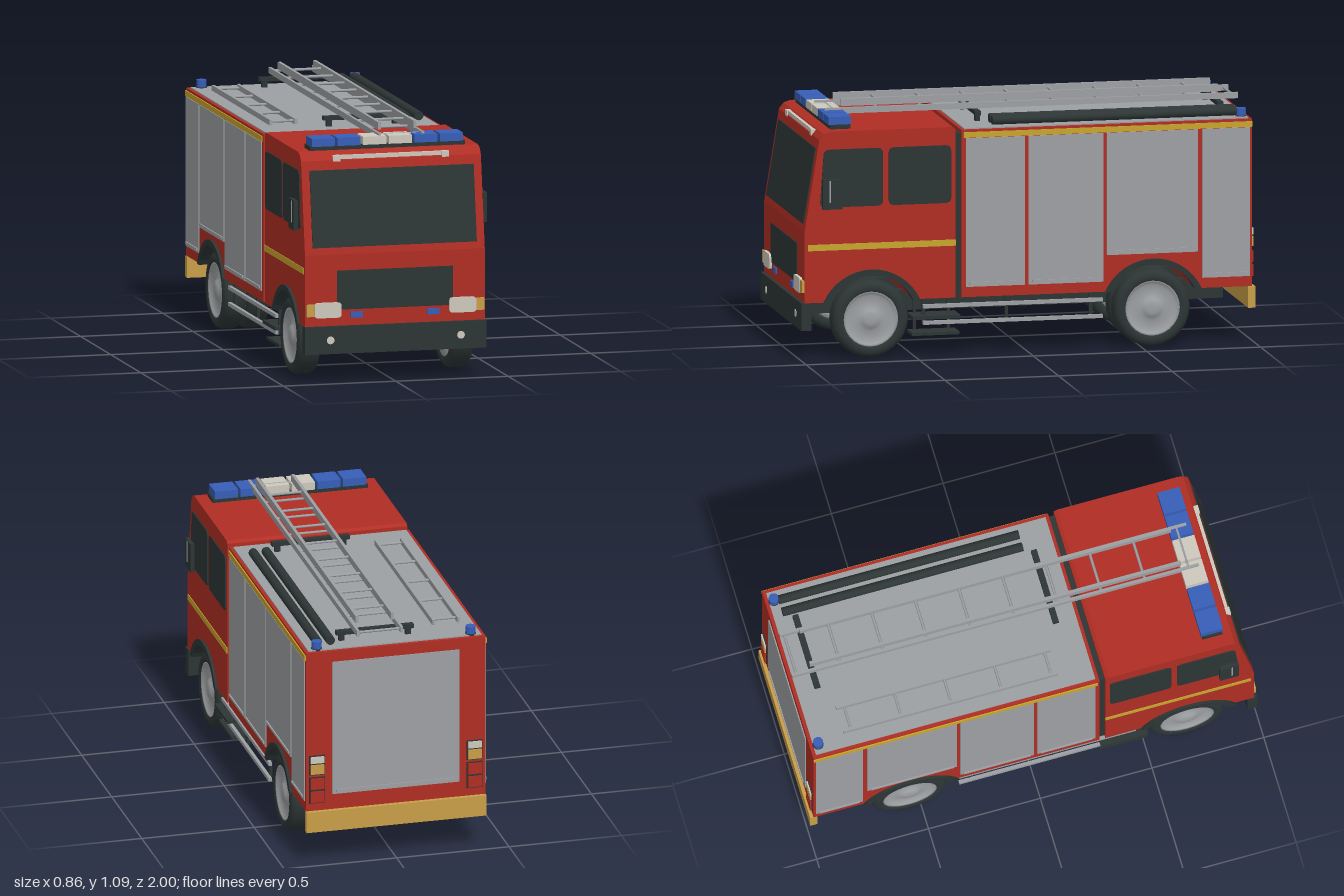
import * as THREE from 'three';

const paint = (name, color) => Object.assign(new THREE.MeshStandardMaterial({ color }), { name });

export function createModel() {
  const root = new THREE.Group();
  root.name = 'fireEngine';
  const red = paint('red bodywork', 0xb02e24);
  const dark = paint('dark trim', 0x2d3535);
  const grey = paint('aluminium', 0x9da0a3);
  const blue = paint('blue lamp', 0x365eb8);
  const cream = paint('clear lamp', 0xcdc9bd);
  const gold = paint('amber', 0xc89f48);
  const yellow = paint('yellow stripe', 0xc9a62e);

  const add = (name, geo, mat, parent = root) => {
    const m = new THREE.Mesh(geo, mat);
    m.name = name;
    parent.add(m);
    return m;
  };
  // Box given by its limits on each axis
  const box = (name, mat, x0, x1, y0, y1, z0, z1, parent) => {
    const g = new THREE.BoxGeometry(Math.abs(x1 - x0), Math.abs(y1 - y0), Math.abs(z1 - z0));
    g.translate((x0 + x1) / 2, (y0 + y1) / 2, (z0 + z1) / 2);
    return add(name, g, mat, parent);
  };
  // The same box on both sides
  const pair = (name, mat, x0, x1, ...rest) => {
    for (const s of [-1, 1]) box(name, mat, s * x0, s * x1, ...rest);
  };
  // Side profile drawn in (z, y), extruded across x around a centre
  const profile = (name, mat, shape, width, cx = 0, curveSegments = 8) => {
    const g = new THREE.ExtrudeGeometry(shape, { depth: width, bevelEnabled: false, curveSegments });
    g.translate(0, 0, -width / 2).rotateY(-Math.PI / 2).translate(cx, 0, 0);
    return add(name, g, mat);
  };
  // Polygon with rounded corners
  const rounded = (pts, r) => {
    const s = new THREE.Shape();
    const v = pts.map(p => new THREE.Vector2(...p));
    v.forEach((p, i) => {
      const a = v[(i + v.length - 1) % v.length].clone().sub(p).setLength(r).add(p);
      const b = v[(i + 1) % v.length].clone().sub(p).setLength(r).add(p);
      if (i) s.lineTo(a.x, a.y); else s.moveTo(a.x, a.y);
      s.quadraticCurveTo(p.x, p.y, b.x, b.y);
    });
    s.closePath();
    return s;
  };
  const rod = (name, mat, r, len, axis, x, y, z, sides = 12) => {
    const g = new THREE.CylinderGeometry(r, r, len, sides);
    if (axis === 'x') g.rotateZ(Math.PI / 2);
    if (axis === 'z') g.rotateX(Math.PI / 2);
    g.translate(x, y, z);
    return add(name, g, mat);
  };

  const FRONT = 0.69, REAR = -0.55, FLOOR = 0.25, ARCH_Y = 0.155, ARCH_R = 0.208;
  const a0 = Math.asin((FLOOR - ARCH_Y) / ARCH_R);
  // Bottom edge with a wheel arch, run from front to back
  const arch = (s, z) => {
    s.lineTo(z + ARCH_R * Math.cos(a0), FLOOR);
    s.absarc(z, ARCH_Y, ARCH_R, a0, Math.PI - a0, false);
  };

  // Cab and equipment body
  const cab = new THREE.Shape();
  cab.moveTo(0.985, FLOOR);
  arch(cab, FRONT);
  [[0.32, FLOOR], [0.32, 0.985], [0.335, 0.995], [0.87, 0.995], [0.9, 0.985], [0.92, 0.96], [0.985, 0.56]]
    .forEach(p => cab.lineTo(...p));
  profile('cab', red, cab, 0.8);
  const body = new THREE.Shape();
  body.moveTo(0.295, FLOOR);
  arch(body, REAR);
  [[-0.985, FLOOR], [-0.985, 0.98], [0.295, 0.98]].forEach(p => body.lineTo(...p));
  profile('equipmentBody', red, body, 0.8);
  box('cabGap', dark, -0.39, 0.39, 0.26, 0.965, 0.29, 0.325);
  box('roofPanel', grey, -0.385, 0.385, 0.978, 0.985, -0.97, 0.28);

  // Fenders
  for (const s of [-1, 1]) for (const z of [FRONT, REAR]) {
    const f = new THREE.Shape();
    f.absarc(z, ARCH_Y, 0.232, a0 - 0.04, Math.PI - a0 + 0.04, false);
    f.absarc(z, ARCH_Y, 0.206, Math.PI - a0, a0, true);
    profile('fender', dark, f, 0.06, s * 0.382);
  }

  // Side windows, stripes and shutters
  for (const s of [-1, 1]) {
    profile('frontSideWindow', dark, rounded([[0.918, 0.665], [0.64, 0.665], [0.64, 0.917], [0.9, 0.917]], 0.025), 0.009, s * 0.4, 4);
    profile('rearSideWindow', dark, rounded([[0.615, 0.665], [0.34, 0.665], [0.34, 0.917], [0.615, 0.917]], 0.025), 0.009, s * 0.4, 4);
  }
  pair('cabStripe', yellow, 0.396, 0.403, 0.477, 0.504, 0.32, 0.97);
  pair('bodyStripe', yellow, 0.396, 0.405, 0.946, 0.97, -0.985, 0.285);
  for (const [z0, z1, y0] of [[0.015, 0.275, 0.295], [-0.33, 0, 0.295], [-0.745, -0.345, 0.41], [-0.975, -0.765, 0.295]]) {
    pair('shutter', grey, 0.396, 0.405, y0, 0.944, z0, z1);
    pair('shutterHandle', grey, 0.4, 0.411, y0 + 0.01, y0 + 0.02, z0 + 0.015, z1 - 0.015);
  }

  // Cab front, the windscreen leaning with the slope
  const screen = box('windscreen', dark, -0.365, 0.365, -0.167, 0.167, -0.004, 0.005);
  screen.position.set(0, 0.755, 0.953);
  screen.rotation.x = -Math.atan(0.065 / 0.4);
  box('grille', dark, -0.258, 0.258, 0.32, 0.49, 0.98, 0.989);
  box('topMarkerStrip', cream, -0.226, 0.226, 0.963, 0.98, 0.893, 0.918);
  pair('topMarkerEnd', cream, 0.226, 0.258, 0.955, 0.981, 0.893, 0.924);
  for (const s of [-1, 1]) {
    const lamp = rounded([[-0.06, -0.033], [0.06, -0.033], [0.06, 0.033], [-0.06, 0.033]], 0.016);
    const g = new THREE.ExtrudeGeometry(lamp, { depth: 0.02, bevelEnabled: false, curveSegments: 3 });
    add('headlight', g.translate(s * 0.3, 0.32, 0.978), cream);
    rod('fogLight', cream, 0.017, 0.008, 'z', s * 0.29, 0.19, 0.998, 16);
  }
  pair('indicator', gold, 0.358, 0.395, 0.294, 0.347, 0.975, 0.996);
  pair('frontBlueLamp', blue, 0.144, 0.197, 0.283, 0.309, 0.98, 0.992);
  box('frontBumper', dark, -0.404, 0.404, 0.13, 0.25, 0.955, 1);

  // Mirrors
  pair('mirror', dark, 0.412, 0.43, 0.66, 0.79, 0.825, 0.91);
  pair('mirrorArm', dark, 0.398, 0.42, 0.765, 0.78, 0.86, 0.88);
  pair('mirrorArm', dark, 0.398, 0.42, 0.69, 0.705, 0.86, 0.88);
  pair('mirrorStay', grey, 0.429, 0.432, 0.69, 0.785, 0.875, 0.882);

  // Roof light bar
  box('lightBarBase', dark, -0.345, 0.345, 0.992, 1.013, 0.77, 0.86);
  [blue, blue, cream, cream, blue, blue].forEach((m, i) => {
    const x = -0.337 + i * 0.114;
    box('lightBarLens', m, x, x + 0.103, 1.012, 1.047, 0.766, 0.865);
  });
  for (const s of [-1, 1]) {
    rod('rearBeacon', blue, 0.022, 0.035, 'y', s * 0.342, 1.002, -0.948, 16);
    rod('beaconBase', dark, 0.024, 0.01, 'y', s * 0.342, 0.983, -0.948, 16);
  }

  // Ladders: two rails and evenly spaced rungs
  const ladder = (name, xa, xb, y0, y1, z0, z1, first, step, count, w) => {
    for (const x of [xa, xb]) box(name + 'Rail', grey, x - w, x + w, y0, y1, z0, z1);
    for (let i = 0; i < count; i++)
      rod(name + 'Rung', grey, 0.006, xb - xa, 'x', (xa + xb) / 2, (y0 + y1) / 2, first + i * step, 8);
  };
  ladder('lowerLadder', -0.03, 0.163, 1.03, 1.056, -0.975, 0.845, -0.955, 0.195, 10, 0.006);
  ladder('upperLadder', -0.011, 0.147, 1.06, 1.092, -0.89, 0.77, -0.764, 0.195, 8, 0.007);
  ladder('shortLadder', -0.322, -0.21, 0.99, 1.014, -0.83, 0.13, -0.795, 0.224, 5, 0.006);
  for (const z of [-0.882, 0.185]) {
    box('ladderSupport', dark, -0.105, 0.24, 1.012, 1.03, z - 0.013, z + 0.013);
    for (const x of [-0.08, 0.215]) box('ladderSupportPost', dark, x - 0.012, x + 0.012, 0.98, 1.013, z - 0.01, z + 0.01);
  }
  for (const x of [0.275, 0.333]) rod('hoseTube', dark, 0.02, 1.075, 'z', x, 1.006, -0.392, 12);

  // Rear shutter, lamp clusters and bumper
  box('rearShutter', grey, -0.283, 0.283, 0.32, 0.93, -0.99, -0.982);
  box('rearShutterHandle', grey, -0.265, 0.265, 0.33, 0.342, -0.995, -0.988);
  for (const [m, y0, y1] of [[cream, 0.47, 0.5], [gold, 0.42, 0.463], [red, 0.35, 0.4], [red, 0.29, 0.34]]) {
    pair('rearLampFrame', dark, 0.315, 0.385, y0 - 0.005, y1 + 0.005, -0.989, -0.98);
    pair('rearLamp', m, 0.32, 0.38, y0, y1, -0.995, -0.985);
  }
  box('rearBumper', gold, -0.4, 0.4, 0.155, 0.248, -1, -0.968);

  // Chassis, side guards and cab steps
  pair('chassisRail', dark, 0.125, 0.185, 0.165, 0.252, -0.905, 0.96);
  for (const z of [FRONT, REAR]) rod('axle', dark, 0.028, 0.6, 'x', 0, 0.17, z);
  for (const y of [0.142, 0.214]) pair('sideGuardBar', grey, 0.375, 0.39, y - 0.008, y + 0.008, -0.33, 0.46);
  for (const z of [0.455, 0.09, -0.28]) pair('sideGuardPost', dark, 0.362, 0.376, 0.135, 0.255, z - 0.007, z + 0.007);
  pair('upperStep', dark, 0.29, 0.406, 0.16, 0.175, 0.3, 0.51);
  pair('lowerStep', dark, 0.29, 0.388, 0.087, 0.1, 0.3, 0.51);
  for (const z of [0.33, 0.48]) pair('stepHanger', dark, 0.295, 0.307, 0.09, 0.255, z - 0.007, z + 0.007);

  // Wheels: single in front, twin at the rear
  const lathe = pts => new THREE.LatheGeometry(pts.map(p => new THREE.Vector2(...p)), 28);
  const tyre = lathe([[0.12, -0.046], [0.13, -0.051], [0.148, -0.05], [0.161, -0.041], [0.168, -0.025],
    [0.168, 0.025], [0.161, 0.041], [0.148, 0.05], [0.13, 0.051], [0.12, 0.046]]);
  const rim = lathe([[0, -0.02], [0.1, -0.02], [0.126, -0.046], [0.126, 0.046], [0.112, 0.043],
    [0.1, 0.03], [0.055, 0.03], [0.04, 0.043], [0.02, 0.048], [0, 0.048]]);
  const wheel = (name, s, x, z) => {
    const w = new THREE.Group();
    w.name = name;
    add('tyre', tyre, dark, w);
    add('rim', rim, grey, w);
    w.position.set(s * x, 0.168, z);
    w.rotation.z = -s * Math.PI / 2;
    root.add(w);
  };
  for (const s of [-1, 1]) {
    wheel('frontWheel', s, 0.341, FRONT);
    wheel('rearOuterWheel', s, 0.341, REAR);
    wheel('rearInnerWheel', s, 0.234, REAR);
  }
  return root;
}
